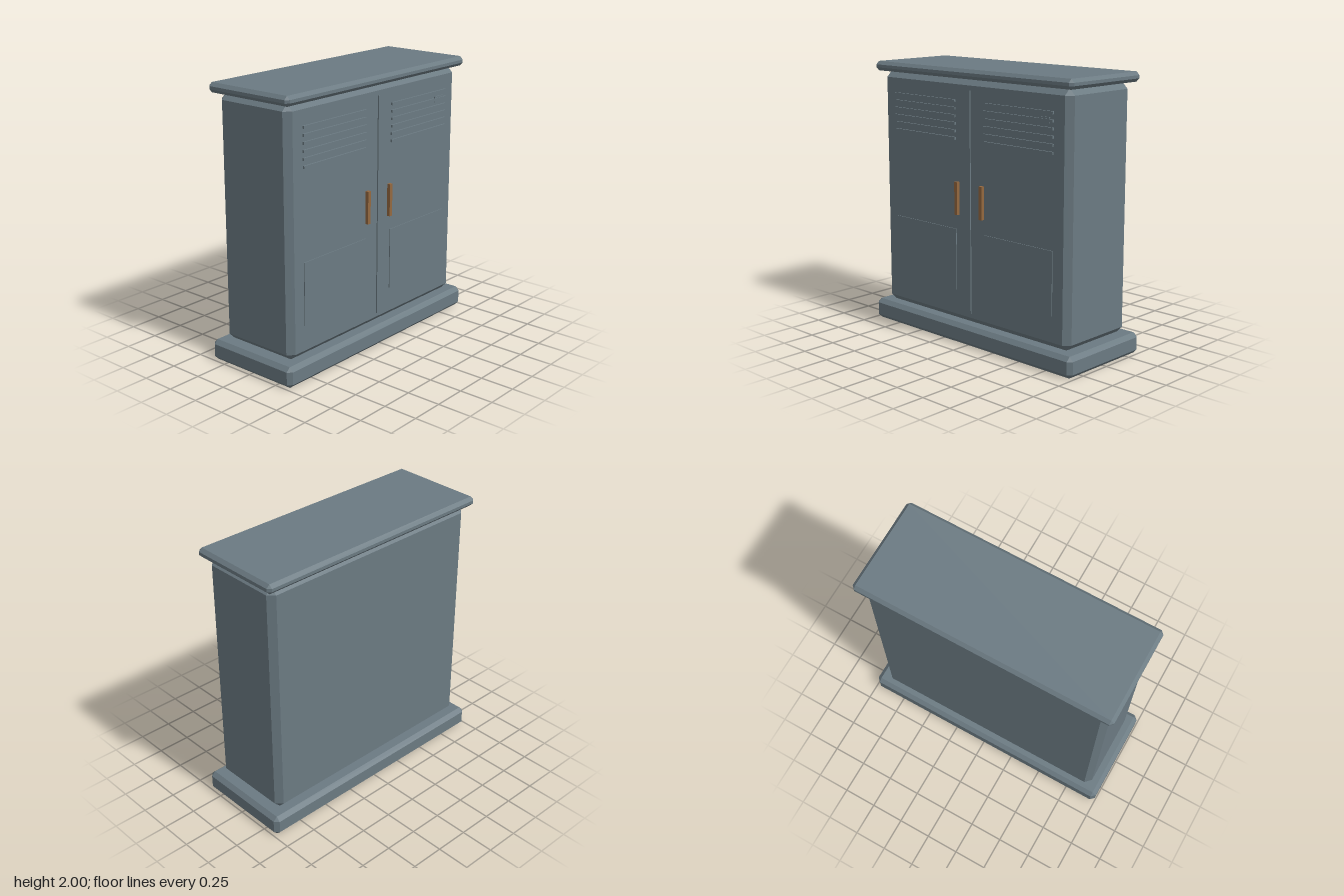
import * as THREE from 'three';
import { ConvexGeometry } from 'three/addons/geometries/ConvexGeometry.js';

const steel = new THREE.MeshStandardMaterial({ color: 0x6b7a82 });
steel.name = 'greySteel';
const copper = new THREE.MeshStandardMaterial({ color: 0x94683f });
copper.name = 'copper';

// Box with every edge cut at 45 degrees by c
function chamferBox(w, h, d, c) {
  const points = [];
  for (const sx of [-1, 1]) for (const sy of [-1, 1]) for (const sz of [-1, 1]) {
    const x = w / 2, y = h / 2, z = d / 2;
    points.push(
      new THREE.Vector3(sx * x, sy * (y - c), sz * (z - c)),
      new THREE.Vector3(sx * (x - c), sy * y, sz * (z - c)),
      new THREE.Vector3(sx * (x - c), sy * (y - c), sz * z)
    );
  }
  return new ConvexGeometry(points);
}

export function createModel() {
  const cabinet = new THREE.Group();
  cabinet.name = 'cabinet';
  const add = (name, geometry, material, x, y, z) => {
    const mesh = new THREE.Mesh(geometry, material);
    mesh.name = name;
    mesh.position.set(x, y, z);
    cabinet.add(mesh);
  };

  // Plinth, body and lid
  add('base', chamferBox(1.985, 0.153, 0.76, 0.03), steel, 0, 0.0765, 0);
  add('body', chamferBox(1.83, 1.775, 0.64, 0.045), steel, 0, 1.0425, 0);
  add('lid', chamferBox(1.925, 0.07, 0.73, 0.024), steel, 0, 1.965, 0);

  // Details sit on the front face, sunk slightly into it
  const front = 0.32, sink = 0.01;
  const plate = (name, material, x, y, w, h, out) =>
    add(name, new THREE.BoxGeometry(w, h, out + sink), material, x, y, front + (out - sink) / 2);

  plate('doorSeam', steel, 0, 1.04, 0.016, 1.62, 0.009);
  for (const side of [-1, 1]) {
    const label = side < 0 ? 'right' : 'left';
    plate(label + 'LowerPanel', steel, side * 0.459, 0.613, 0.638, 0.456, 0.006);
    plate(label + 'Handle', copper, side * 0.122, 1.07, 0.028, 0.24, 0.025);
    for (let i = 0; i < 6; i++) {
      plate(label + 'VentSlat', steel, side * 0.459, 1.5 + i * 0.0535, 0.638, 0.019, 0.013);
    }
  }
  plate('namePlate', steel, 0.698, 1.714, 0.095, 0.042, 0.006);

  return cabinet;
}
